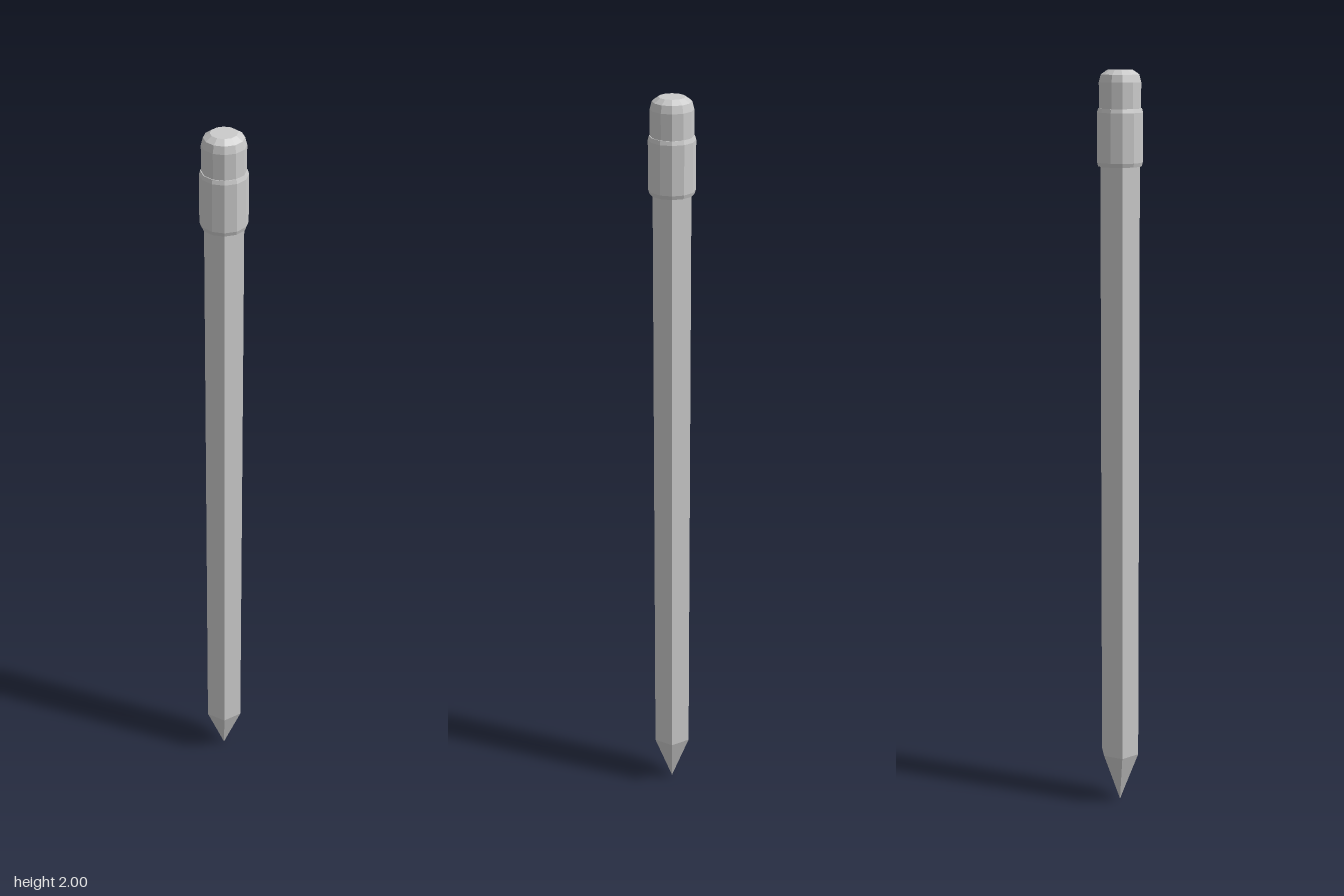
import * as THREE from 'three';

const material = new THREE.MeshStandardMaterial({ color: 0xcccccc, flatShading: true });

// Faceted solid of revolution from [radius, height] pairs, listed bottom to top
function turned(name, profile, sides, phase = 0) {
  const points = profile.map(([r, y]) => new THREE.Vector2(r, y));
  const mesh = new THREE.Mesh(new THREE.LatheGeometry(points, sides, phase), material);
  mesh.name = name;
  return mesh;
}

export function createModel() {
  const pencil = new THREE.Group();
  pencil.name = 'pencil';
  const hex = Math.PI / 6; // puts two hexagon corners on the x axis

  pencil.add(
    // Sharpened point: lead and the cut wood above it
    turned('leadTip', [[0, 0], [0.015, 0.04]], 6, hex),
    turned('sharpenedWood', [[0.015, 0.04], [0.055, 0.145]], 6, hex),
    // Hexagonal shaft
    turned('shaft', [[0.055, 0.145], [0.055, 1.78]], 6, hex),
    // Metal band holding the eraser
    turned('ferrule', [[0, 1.76], [0.056, 1.76], [0.059, 1.77], [0.059, 1.895], [0.056, 1.905], [0, 1.905]], 12),
    // Eraser with a rounded top
    turned('eraser', [[0.054, 1.89], [0.054, 1.97], [0.049, 1.989], [0.033, 2], [0, 2]], 12)
  );
  return pencil;
}
